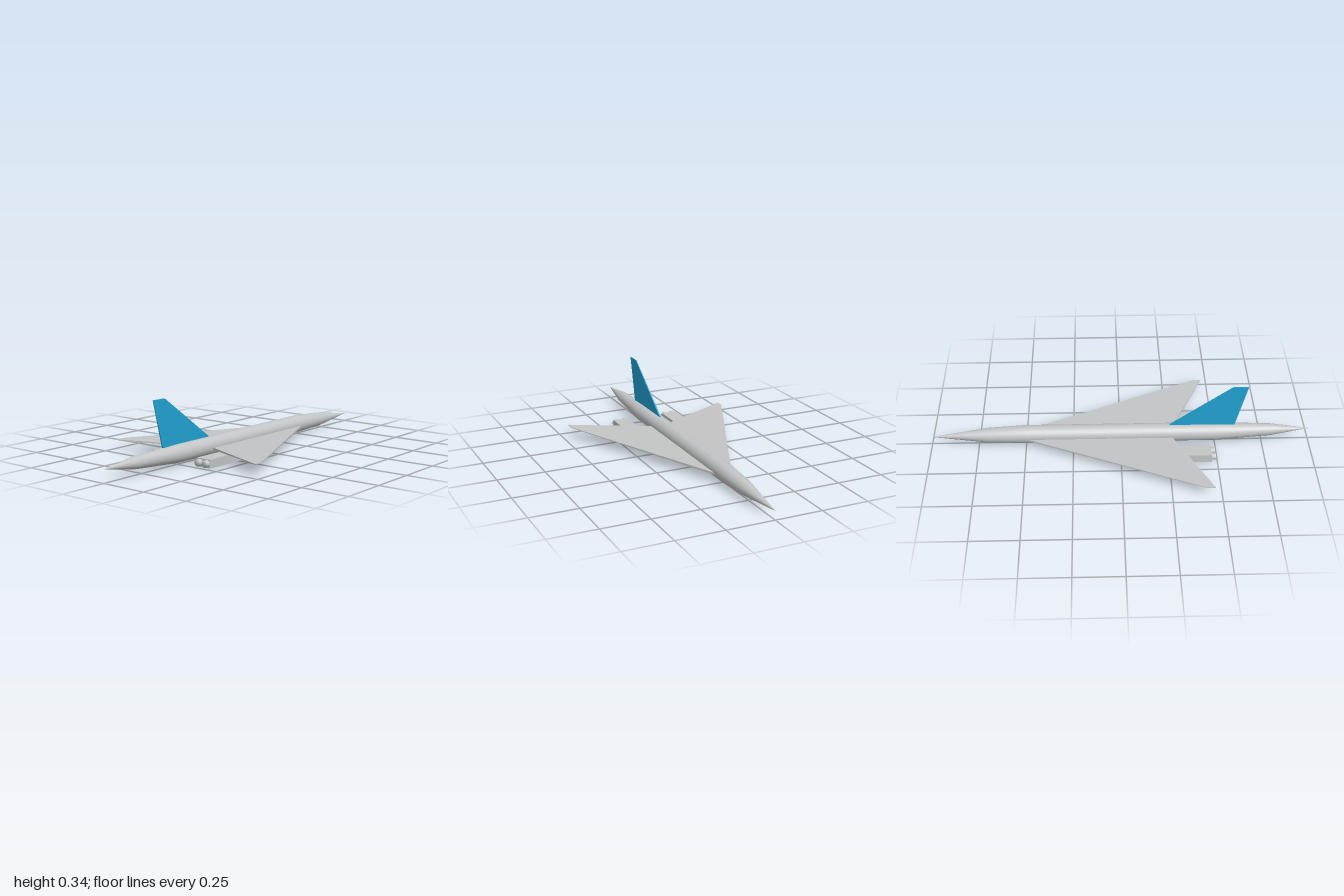
import * as THREE from 'three';
import { mergeVertices } from 'three/addons/utils/BufferGeometryUtils.js';
import { ConvexGeometry } from 'three/addons/geometries/ConvexGeometry.js';

// Fuselage stations: z, radius, centre height (nose at -z)
const STATIONS = [
  [-1, 0.0005, 0.045], [-0.7, 0.039, 0.051], [-0.5, 0.0475, 0.055],
  [0.5, 0.0475, 0.055], [0.8, 0.031, 0.061], [1, 0.0005, 0.065],
];

const solid = (corners) => new ConvexGeometry(corners.map((c) => new THREE.Vector3(...c)));

export function createModel() {
  const skin = new THREE.MeshStandardMaterial({ color: 0xc3c4c5 });
  skin.name = 'light grey';
  const paint = new THREE.MeshStandardMaterial({ color: 0x21a2d2 });
  paint.name = 'fin blue';

  const model = new THREE.Group();
  model.name = 'deltaWingAirliner';
  const add = (name, geometry, material) => {
    const mesh = new THREE.Mesh(geometry, material);
    mesh.name = name;
    model.add(mesh);
    return mesh;
  };

  // Fuselage: lathe along z, each ring lifted to its own centre height
  const body = new THREE.LatheGeometry(STATIONS.map(([z, r]) => new THREE.Vector2(r, z)), 28);
  body.rotateX(Math.PI / 2);
  const pos = body.attributes.position;
  for (let i = 0; i < pos.count; i++) {
    pos.setY(i, pos.getY(i) + STATIONS[i % STATIONS.length][2]);
  }
  add('fuselage', body, skin);

  // Tail fin: tapered slab
  const fin = [];
  for (const s of [-1, 1]) {
    fin.push([s * 0.004, 0.085, 0.235], [s * 0.004, 0.085, 0.6],
      [s * 0.002, 0.34, 0.585], [s * 0.002, 0.34, 0.665]);
  }
  add('tailFin', solid(fin), paint);

  for (const s of [1, -1]) {
    const side = s > 0 ? 'left' : 'right';

    // Delta wing: thick at the root, thin at the raised tip
    add(side + 'Wing', solid([
      [s * 0.04, 0.04, -0.5], [s * 0.04, 0.051, -0.5],
      [s * 0.04, 0.04, 0.272], [s * 0.04, 0.051, 0.272],
      [s * 0.46, 0.057, 0.42], [s * 0.46, 0.06, 0.42],
      [s * 0.46, 0.057, 0.464], [s * 0.46, 0.06, 0.464],
    ]), skin);

    // Engine box under the wing
    const box = add(side + 'EnginePod', new THREE.BoxGeometry(0.083, 0.044, 0.246), skin);
    box.position.set(s * 0.148, 0.022, 0.349);

    // Pair of smooth-shaded exhaust nozzles
    for (const x of [0.1245, 0.1715]) {
      let nozzle = new THREE.CylinderGeometry(0.018, 0.018, 0.05, 20);
      nozzle.deleteAttribute('normal');
      nozzle.deleteAttribute('uv');
      nozzle = mergeVertices(nozzle);
      nozzle.computeVertexNormals();
      nozzle.rotateX(Math.PI / 2);
      add(side + 'Nozzle', nozzle, skin).position.set(s * x, 0.023, 0.467);
    }
  }
  return model;
}
